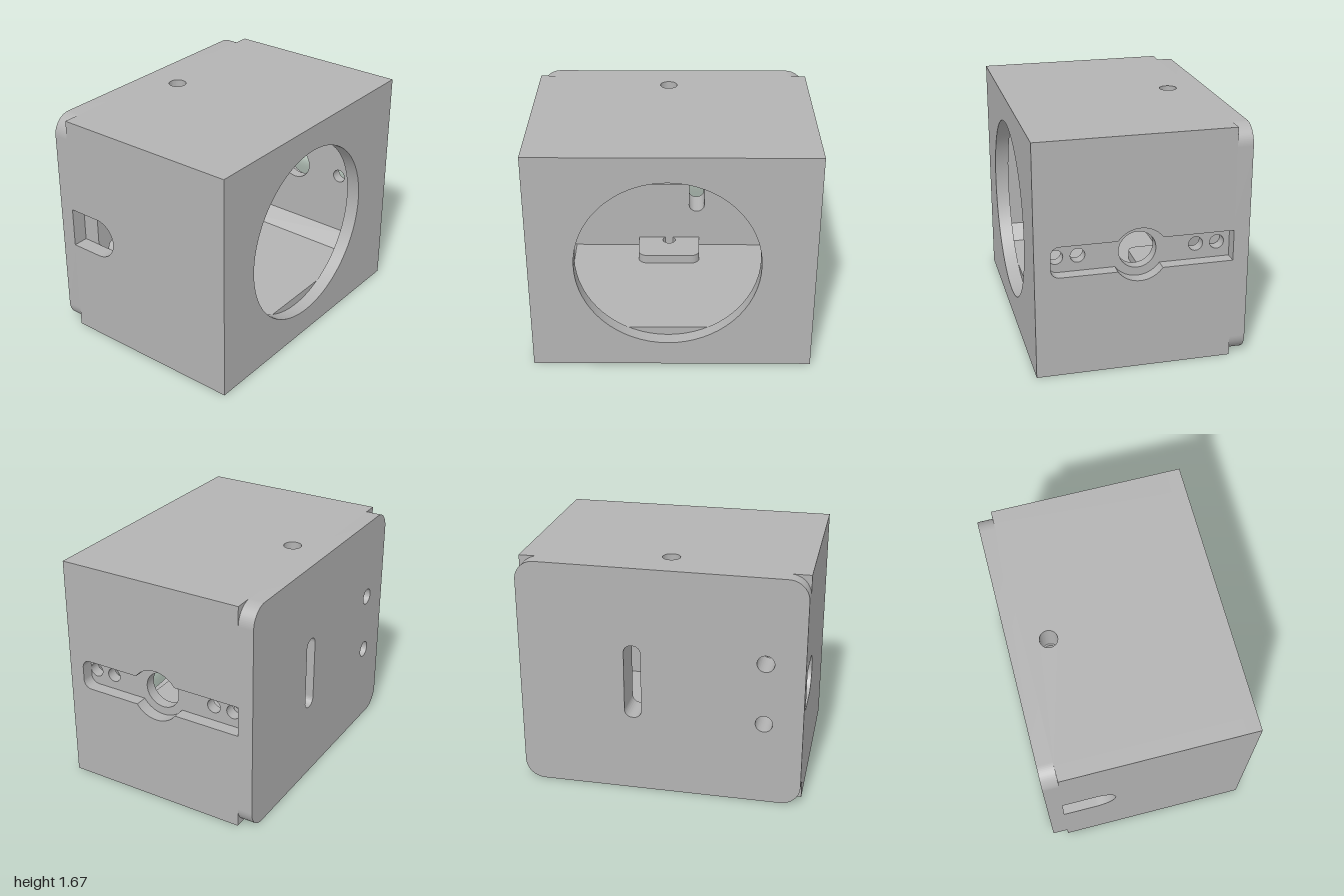
import * as THREE from 'three';
import { toCreasedNormals } from 'three/addons/utils/BufferGeometryUtils.js';

const H = 1.67, CY = 0.835, CZ = 0.03;      // height, centre lines
const XP = -0.63, XI = -0.5, XE = 0.64;     // cover plate, inner wall and end wall planes
const ZB = -0.83, ZF = 0.89;                // cavity back and front
const YF = 0.25, YC = 1.42;                 // cavity floor and ceiling

const roundRect = (x0, y0, x1, y1, r, P = THREE.Shape) => {
  const s = new P(), q = Math.PI / 2;
  s.moveTo(x0 + r, y0);
  s.absarc(x1 - r, y0 + r, r, -q, 0, false);
  s.absarc(x1 - r, y1 - r, r, 0, q, false);
  s.absarc(x0 + r, y1 - r, r, q, 2 * q, false);
  s.absarc(x0 + r, y0 + r, r, 2 * q, 3 * q, false);
  s.closePath();
  return s;
};
const rect = (x0, y0, x1, y1) => new THREE.Shape([[x0, y0], [x1, y0], [x1, y1], [x0, y1]].map(p => new THREE.Vector2(...p)));
const circle = (x, y, r) => new THREE.Path().absarc(x, y, r, 0, Math.PI * 2, true);

export function createModel() {
  const group = new THREE.Group();
  const grey = new THREE.MeshStandardMaterial({ color: 0xb3b3b3 });
  grey.name = 'grey';

  // Extrudes a shape between two planes of an axis; x uses (-z, y), y uses (x, -z)
  const slab = (name, axis, from, to, shape, holes = []) => {
    shape.holes.push(...holes);
    let g = new THREE.ExtrudeGeometry(shape, { depth: to - from, bevelEnabled: false, curveSegments: 32 });
    g.translate(0, 0, from);
    if (axis === 'x') g.rotateY(Math.PI / 2);
    if (axis === 'y') g.rotateX(-Math.PI / 2);
    g = toCreasedNormals(g, 0.5);
    const mesh = new THREE.Mesh(g, grey);
    mesh.name = name;
    group.add(mesh);
  };

  // Cover plate and the wall behind it, both with the slot and two small holes
  const plateHoles = () => [
    roundRect(0.13, 0.565, 0.25, 1.11, 0.055, THREE.Path),
    circle(-0.73, CY + 0.225, 0.06),
    circle(-0.73, CY - 0.225, 0.06),
  ];
  slab('coverPlate', 'x', -0.74, XP, roundRect(-1, 0, 1, H, 0.14), plateHoles());
  slab('innerWall', 'x', XP, XI, rect(-ZF, YF, -ZB, YC), plateHoles());

  // End wall with the large round opening
  slab('endWall', 'x', XE, 0.74, rect(-1, 0, 1, H), [
    new THREE.Path().absarc(-CZ, CY, 0.65, 0, Math.PI * 2, true),
  ]);

  // Front wall with a round-ended notch
  const front = new THREE.Shape();
  front.moveTo(XP, 0);
  front.lineTo(XE, 0);
  front.lineTo(XE, H);
  front.lineTo(XP, H);
  front.lineTo(XP, CY + 0.145);
  front.absarc(-0.39, CY, 0.145, Math.PI / 2, -Math.PI / 2, true);
  front.lineTo(XP, CY - 0.145);
  front.closePath();
  slab('frontWall', 'z', ZF, 1, front);

  // Back wall, outer layer: long pocket swelling round its middle hole
  const h = 0.11, R = 0.19, bx = 0.02, a = Math.asin(h / R), c = 0.06, ex = 0.63;
  const back = new THREE.Shape();
  back.moveTo(XP, 0);
  back.lineTo(XE, 0);
  back.lineTo(XE, H);
  back.lineTo(XP, H);
  back.lineTo(XP, CY + h);
  back.absarc(bx, CY, R, Math.PI - a, a, true);
  back.absarc(ex - c, CY + h - c, c, Math.PI / 2, 0, true);
  back.absarc(ex - c, CY - h + c, c, 0, -Math.PI / 2, true);
  back.absarc(bx, CY, R, -a, a - Math.PI, true);
  back.lineTo(XP, CY - h);
  back.closePath();
  slab('backWall', 'z', -1, -0.91, back);

  // Back wall, inner layer: pocket floor with its row of holes
  slab('pocketFloor', 'z', -0.91, ZB, rect(XP, 0, XE, H), [
    circle(bx, CY, 0.13),
    ...[-0.54, -0.39, 0.43, 0.58].map(x => circle(x, CY, 0.05)),
  ]);

  // Floor and roof with screw holes and bosses
  const sx = -0.46;
  const slabShape = () => rect(XP, -ZF, XE, -ZB);
  const bossShape = () => roundRect(XI - 0.08, -0.27, -0.22, 0.21, 0.07);
  for (const [name, y0, y1, b0, b1] of [
    ['floor', 0, YF, YF, 0.32],
    ['roof', YC, H, 1.35, YC],
  ]) {
    slab(name, 'y', y0, y1, slabShape(), [circle(sx, -CZ, 0.062)]);
    slab(name + 'Boss', 'y', b0, b1, bossShape(), [circle(sx, -CZ, 0.05)]);
  }

  // Sloped fillets along the four long edges of the cavity
  const f = 0.11;
  for (const [z, sz] of [[ZB, 1], [ZF, -1]]) {
    for (const [y, sy] of [[YF, 1], [YC, -1]]) {
      const pts = [[-z, y], [-z - sz * f, y], [-z, y + sy * f]].map(p => new THREE.Vector2(...p));
      slab('cavityFillet', 'x', XI, XE, new THREE.Shape(pts));
    }
  }
  return group;
}
